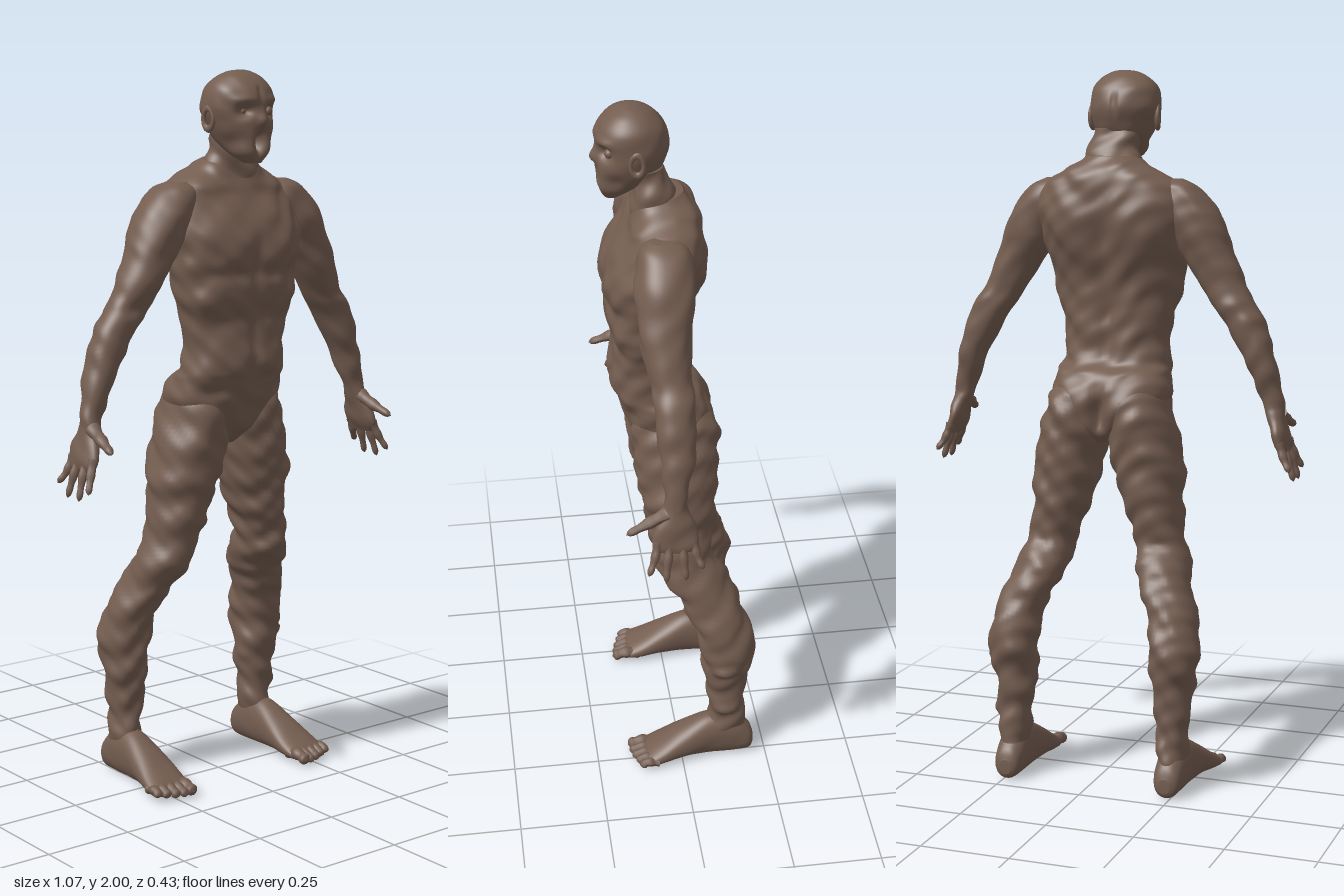
import * as THREE from 'three';

const skin = new THREE.MeshStandardMaterial({ color: 0x745d50 });
skin.name = 'brownSkin';

// Smooth interpolation of one section column
const spline = (a, b, c, d, t) =>
  0.5 * (2 * b + (c - a) * t + (2 * a - 5 * b + 4 * c - d) * t * t + (3 * b - a - 3 * c + d) * t * t * t);

// Lumpy folded skin, roughly -1..1
const folds = (x, y, z) =>
  0.5 * Math.sin(y * 62 + 5 * Math.sin(x * 17 + 1) + z * 22) +
  0.3 * Math.sin(y * 37 - x * 41 + 3 * Math.sin(z * 19)) +
  0.2 * Math.sin(y * 105 + x * 60 + z * 70);

function named(name, geometry) {
  const m = new THREE.Mesh(geometry, skin);
  m.name = name;
  return m;
}

// Loft through sections [s, u0, u1, v0, v1]: bounds of an oval at position s.
// axis 'y': s=y, u=x, v=z.  axis 'z': s=z, u=x, v=y.
// bumps [x, y, z, r, ry, amount] push the surface outward or inward.
function loft(name, sections, { axis = 'y', segs = 48, steps = 8, power = 2.2, wrinkle = 0, bumps = [], mirror = 1 } = {}) {
  const pos = [], idx = [], n = sections.length;
  const put = (s, u, v) => (axis === 'y' ? [u, s, v] : [u, v, s]);
  const at = (j) => sections[Math.min(n - 1, Math.max(0, j))];
  const rows = [];
  for (let i = 0; i < n - 1; i++) {
    for (let k = 0; k < steps; k++) {
      rows.push(at(i).map((_, c) => spline(at(i - 1)[c], at(i)[c], at(i + 1)[c], at(i + 2)[c], k / steps)));
    }
  }
  rows.push(sections[n - 1]);
  const bend = (c) => Math.sign(c) * Math.abs(c) ** (2 / power);
  for (const [s, u0, u1, v0, v1] of rows) {
    const cu = (u0 + u1) / 2, cv = (v0 + v1) / 2;
    for (let j = 0; j < segs; j++) {
      const a = (j / segs) * Math.PI * 2;
      const du = bend(Math.cos(a)) * (u1 - u0) / 2, dv = bend(Math.sin(a)) * (v1 - v0) / 2;
      const [x, y, z] = put(s, cu + du, cv + dv);
      let push = wrinkle * folds(x * mirror, y, z);
      for (const [bx, by, bz, r, ry, amt] of bumps) {
        push += amt * Math.exp(-((x - bx) ** 2 + (z - bz) ** 2) / (r * r) - ((y - by) / ry) ** 2);
      }
      const f = 1 + push / Math.hypot(du, dv);
      const p = put(s, cu + du * f, cv + dv * f);
      pos.push(p[0] * mirror, p[1], p[2]);
    }
  }
  for (let i = 0; i < rows.length - 1; i++) {
    for (let j = 0; j < segs; j++) {
      const a = i * segs + j, b = i * segs + (j + 1) % segs;
      idx.push(a, a + segs, b, b, a + segs, b + segs);
    }
  }
  // End caps
  for (const i of [0, rows.length - 1]) {
    const [s, u0, u1, v0, v1] = rows[i], c = pos.length / 3;
    const p = put(s, (u0 + u1) / 2, (v0 + v1) / 2);
    pos.push(p[0] * mirror, p[1], p[2]);
    for (let j = 0; j < segs; j++) {
      const a = i * segs + j, b = i * segs + (j + 1) % segs;
      if (i === 0) idx.push(c, a, b);
      else idx.push(c, b, a);
    }
  }
  // Keep faces outward for either axis, direction and side
  const flips = [axis === 'z', mirror < 0, sections[0][0] > sections[n - 1][0]].filter(Boolean).length;
  if (flips % 2) idx.reverse();
  const g = new THREE.BufferGeometry();
  g.setAttribute('position', new THREE.Float32BufferAttribute(pos, 3));
  g.setIndex(idx);
  g.computeVertexNormals();
  return named(name, g);
}

// Tapered digit with a rounded tip
function digit(name, points, r0, r1, mirror) {
  const curve = new THREE.CatmullRomCurve3(points.map(([x, y, z]) => new THREE.Vector3(x * mirror, y, z)));
  const N = 16, R = 10, g = new THREE.TubeGeometry(curve, N, 1, R);
  const p = g.attributes.position, v = new THREE.Vector3();
  for (let i = 0; i <= N; i++) {
    const t = i / N, c = curve.getPointAt(t);
    const tip = Math.sqrt(Math.max(0.0004, 1 - Math.max(0, (t - 0.8) / 0.2) ** 2));
    const r = (r0 + (r1 - r0) * t) * tip * (1 + 0.1 * Math.cos(t * 14));
    for (let j = 0; j <= R; j++) {
      const k = i * (R + 1) + j;
      v.fromBufferAttribute(p, k).sub(c).multiplyScalar(r).add(c);
      p.setXYZ(k, v.x, v.y, v.z);
    }
  }
  g.computeVertexNormals();
  return named(name, g);
}

const pair = (list) => list.flatMap((b) => [b, [-b[0], ...b.slice(1)]]);

function makeTorso() {
  const bumps = pair([
    [0.1, 1.56, 0.17, 0.09, 0.07, 0.016],    // chest
    [0.1, 1.455, 0.18, 0.08, 0.02, -0.012],
    [0.13, 1.39, 0.14, 0.07, 0.04, 0.012],   // rib edge
    [0.07, 1.33, 0.16, 0.05, 0.03, -0.012],
    [0.06, 1.22, 0.17, 0.05, 0.05, 0.01],    // belly
    [0.11, 1.13, 0.12, 0.05, 0.02, -0.01],
    [0.11, 1.55, -0.08, 0.07, 0.1, 0.018],   // shoulder blade
    [0.07, 1.3, -0.03, 0.04, 0.1, 0.008],
    [0.085, 1.07, -0.11, 0.06, 0.06, 0.014], // buttock
    [0.1, 1.69, 0.1, 0.07, 0.02, 0.01],      // collarbone
  ]).concat([
    [0, 1.5, 0.19, 0.018, 0.16, -0.014],     // breastbone seam
    [0, 1.2, 0.17, 0.014, 0.12, -0.012],
    [0, 1.5, -0.07, 0.03, 0.17, -0.018],     // spine
    [0, 1.28, -0.03, 0.025, 0.1, -0.012],
    [0, 1.05, -0.11, 0.02, 0.08, -0.035],
  ]);
  return loft('torso', [
    [0.97, -0.04, 0.04, -0.06, 0.05], [1.02, -0.13, 0.13, -0.1, 0.1], [1.1, -0.172, 0.165, -0.108, 0.135],
    [1.16, -0.165, 0.16, -0.085, 0.155], [1.2, -0.155, 0.15, -0.035, 0.165], [1.3, -0.158, 0.154, -0.028, 0.163],
    [1.4, -0.187, 0.178, -0.033, 0.175], [1.5, -0.205, 0.2, -0.062, 0.182], [1.6, -0.225, 0.225, -0.082, 0.155],
    [1.68, -0.2, 0.2, -0.078, 0.115], [1.73, -0.12, 0.125, -0.065, 0.1], [1.765, -0.06, 0.07, -0.03, 0.09],
  ], { segs: 120, steps: 10, power: 2.4, wrinkle: 0.0055, bumps });
}

function makeHead() {
  const head = new THREE.Group();
  head.name = 'head';
  head.add(loft('skull', [
    [1.752, -0.03, 0.02, 0.135, 0.175], [1.78, -0.062, 0.048, 0.085, 0.195], [1.82, -0.085, 0.07, 0.03, 0.198],
    [1.86, -0.1, 0.08, 0.01, 0.198], [1.9, -0.112, 0.085, 0, 0.196], [1.945, -0.106, 0.08, 0.012, 0.188],
    [1.978, -0.08, 0.058, 0.042, 0.16], [1.995, -0.045, 0.028, 0.075, 0.128], [2, -0.012, 0.002, 0.1, 0.11],
  ], {
    segs: 112, steps: 10, power: 2.1, wrinkle: 0.002,
    bumps: [
      [0, 1.808, 0.2, 0.018, 0.03, -0.045],                                                 // gaping mouth
      [0.045, 1.89, 0.18, 0.023, 0.017, -0.026], [-0.05, 1.89, 0.18, 0.023, 0.017, -0.026], // sockets
      [0.045, 1.92, 0.18, 0.03, 0.012, 0.007], [-0.05, 1.92, 0.18, 0.03, 0.012, 0.007],     // brows
      [-0.003, 1.865, 0.2, 0.014, 0.022, 0.015],                                            // nose
      [0.055, 1.81, 0.15, 0.03, 0.025, -0.012], [-0.065, 1.81, 0.15, 0.03, 0.025, -0.012],  // cheeks
      [-0.004, 1.95, 0.19, 0.009, 0.04, -0.008], [-0.01, 1.93, 0, 0.009, 0.07, -0.008],     // crown seam
    ],
  }));
  for (const x of [0.042, -0.048]) {
    const eye = named('eye', new THREE.SphereGeometry(0.013, 20, 14));
    eye.position.set(x, 1.89, 0.162);
    head.add(eye);
  }
  for (const [x, turn] of [[0.083, 1], [-0.108, -1]]) {
    const ear = named('ear', new THREE.TorusGeometry(0.019, 0.007, 10, 24));
    ear.scale.set(0.9, 1.45, 1);
    ear.rotation.y = turn * 1.35;
    ear.position.set(x, 1.87, 0.095);
    head.add(ear);
  }
  head.add(loft('neck', [
    [1.68, -0.11, 0.12, -0.05, 0.11], [1.73, -0.082, 0.092, -0.03, 0.105], [1.78, -0.066, 0.08, -0.002, 0.105],
    [1.84, -0.06, 0.068, 0.02, 0.11],
  ], { wrinkle: 0.007, steps: 12 }));
  return head;
}

function makeArm(side) {
  const arm = new THREE.Group();
  arm.name = side > 0 ? 'leftArm' : 'rightArm';
  arm.add(loft('armAndPalm', [
    [1.702, 0.15, 0.2, 0.01, 0.07], [1.68, 0.12, 0.245, -0.025, 0.1], [1.62, 0.13, 0.293, -0.035, 0.12],
    [1.55, 0.17, 0.325, -0.03, 0.12], [1.5, 0.2, 0.345, -0.02, 0.115], [1.4, 0.267, 0.388, -0.01, 0.1],
    [1.35, 0.3, 0.418, -0.016, 0.095], [1.3, 0.335, 0.44, -0.014, 0.088], [1.2, 0.39, 0.473, -0.008, 0.084],
    [1.1, 0.43, 0.493, 0.018, 0.077], [1.06, 0.447, 0.499, 0.013, 0.085], [1.02, 0.461, 0.506, -0.005, 0.105],
    [0.975, 0.477, 0.514, -0.01, 0.112], [0.955, 0.487, 0.512, 0, 0.1],
  ], {
    wrinkle: 0.004, mirror: side,
    bumps: [[0.28, 1.6, 0.06, 0.06, 0.07, 0.01], [0.3, 1.45, 0.1, 0.05, 0.06, 0.008],
      [0.36, 1.37, 0.09, 0.04, 0.02, -0.008], [0.43, 1.29, 0.06, 0.05, 0.05, 0.008]],
  }));
  // Each finger: base z, tip z, tip y
  for (const [z0, z1, y1] of [[0.098, 0.128, 0.9], [0.068, 0.082, 0.875], [0.036, 0.028, 0.877], [0.006, -0.018, 0.91]]) {
    arm.add(digit('finger', [[0.494, 0.985, z0], [0.512, 0.94, z0 * 0.6 + z1 * 0.4], [0.531, y1, z1]], 0.014, 0.008, side));
  }
  arm.add(digit('thumb', [[0.475, 1.06, 0.07], [0.482, 1.035, 0.125], [0.492, 1.012, 0.182]], 0.021, 0.009, side));
  return arm;
}

function makeLeg(side) {
  const leg = new THREE.Group();
  leg.name = side > 0 ? 'leftLeg' : 'rightLeg';
  const bumps = [
    [0.09, 1.06, -0.11, 0.06, 0.06, 0.01],                                            // buttock
    [0.2, 0.88, 0.03, 0.06, 0.04, 0.008], [0.14, 0.75, 0.07, 0.05, 0.03, 0.01],       // thigh folds
    [0.17, 0.64, 0.04, 0.06, 0.035, 0.018], [0.17, 0.575, 0.01, 0.06, 0.018, -0.012], // knee
    [0.17, 0.69, -0.1, 0.06, 0.03, -0.008], [0.23, 0.42, -0.2, 0.06, 0.07, 0.008],    // calf
  ];
  // Loose flaps on the outer left shin
  if (side > 0) bumps.push([0.31, 0.345, -0.12, 0.04, 0.018, 0.025], [0.29, 0.19, -0.12, 0.04, 0.02, 0.018], [0.17, 0.28, -0.12, 0.04, 0.02, 0.01]);
  leg.add(loft('thighAndShin', [
    [1.15, 0.05, 0.13, -0.05, 0.07], [1.1, 0.018, 0.166, -0.105, 0.115], [1, 0.006, 0.196, -0.118, 0.115],
    [0.9, 0.024, 0.215, -0.115, 0.105], [0.8, 0.052, 0.217, -0.107, 0.083], [0.7, 0.092, 0.23, -0.1, 0.062],
    [0.6, 0.112, 0.26, -0.15, 0.027], [0.5, 0.158, 0.293, -0.188, -0.03], [0.4, 0.172, 0.309, -0.208, -0.056],
    [0.3, 0.18, 0.293, -0.194, -0.066], [0.2, 0.19, 0.283, -0.186, -0.085], [0.12, 0.198, 0.278, -0.192, -0.075],
    [0.05, 0.2, 0.28, -0.195, -0.06],
  ], { wrinkle: 0.0075, mirror: side, bumps, steps: 10 }));
  leg.add(loft('foot', [
    [-0.215, 0.222, 0.255, 0.02, 0.06], [-0.2, 0.204, 0.275, 0.004, 0.095], [-0.15, 0.196, 0.283, 0.001, 0.135],
    [-0.08, 0.194, 0.287, 0.003, 0.142], [0, 0.186, 0.3, 0.006, 0.104], [0.06, 0.183, 0.311, 0.003, 0.068],
    [0.1, 0.188, 0.314, 0.003, 0.045], [0.115, 0.2, 0.305, 0.008, 0.034],
  ], { axis: 'z', mirror: side, wrinkle: 0.001 }));
  for (let i = 0; i < 5; i++) {
    const x = 0.205 + i * 0.0245, r = i === 0 ? 0.018 : 0.0135;
    leg.add(digit('toe', [[x, 0.026, 0.075], [x + 0.002, 0.028, 0.115], [x + 0.001, r * 0.95, 0.157 - i * i * 0.0022]], r, r * 0.9, side));
  }
  return leg;
}

export function createModel() {
  const figure = new THREE.Group();
  figure.name = 'figure';
  figure.add(makeTorso(), makeHead());
  for (const side of [1, -1]) figure.add(makeArm(side), makeLeg(side));
  return figure;
}
